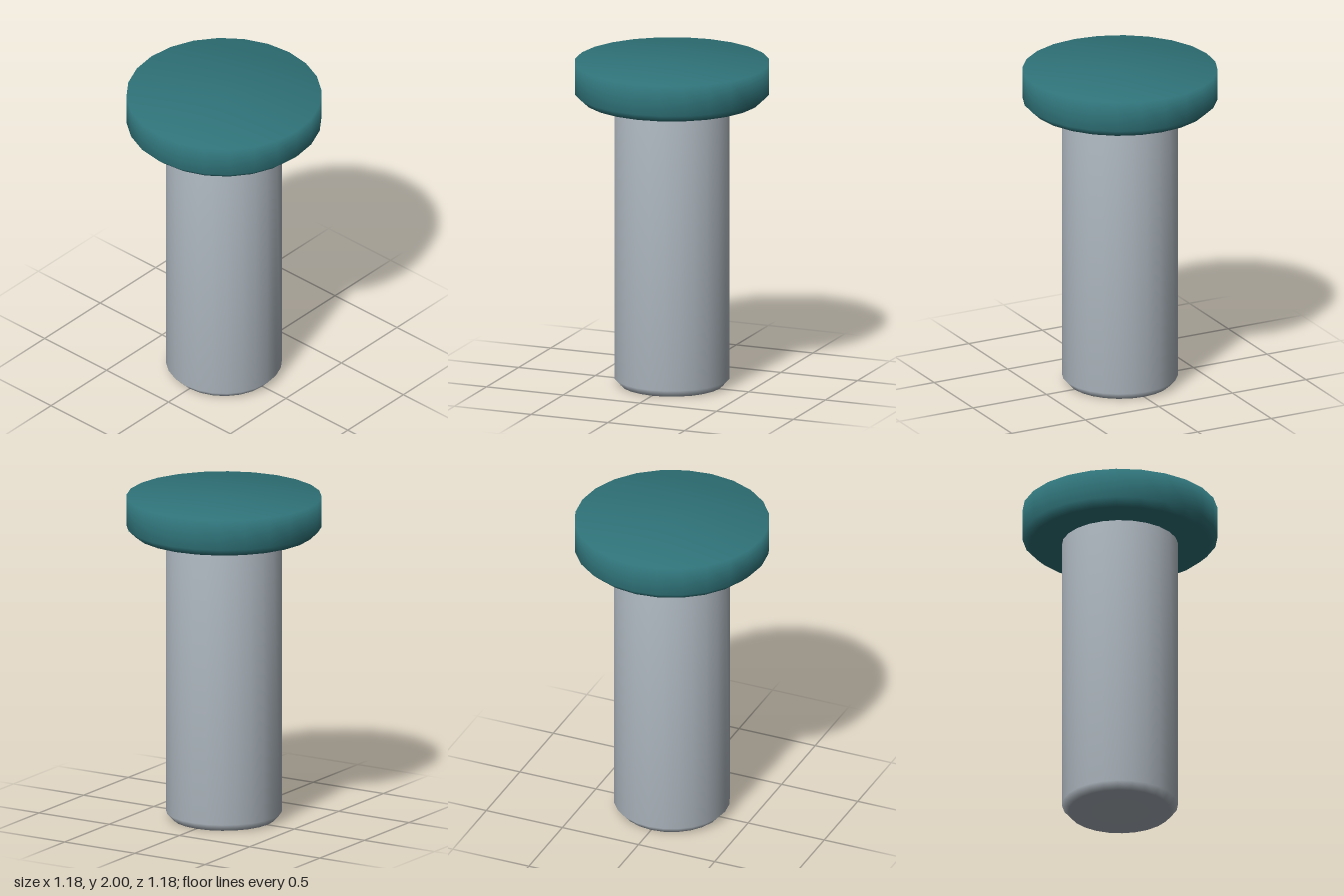
import * as THREE from 'three';

const SIDES = 24;

// Turned part from a bottom-to-top profile of [radius, height] pairs
function turned(name, profile, color) {
  const points = profile.map(([r, y]) => new THREE.Vector2(r, y));
  const mesh = new THREE.Mesh(
    new THREE.LatheGeometry(points, SIDES),
    new THREE.MeshStandardMaterial({ color })
  );
  mesh.name = name;
  return mesh;
}

export function createModel() {
  const group = new THREE.Group();
  group.name = 'pin';

  // Shaft with a chamfered lower end
  group.add(turned('shaft', [
    [0, 0], [0.31, 0], [0.35, 0.045], [0.35, 1.77], [0, 1.77],
  ], 0xa9b2ba));

  // Wide flat head with a chamfered lower rim
  group.add(turned('head', [
    [0, 1.77], [0.54, 1.77], [0.588, 1.815], [0.588, 2], [0, 2],
  ], 0x2f7379));

  return group;
}
